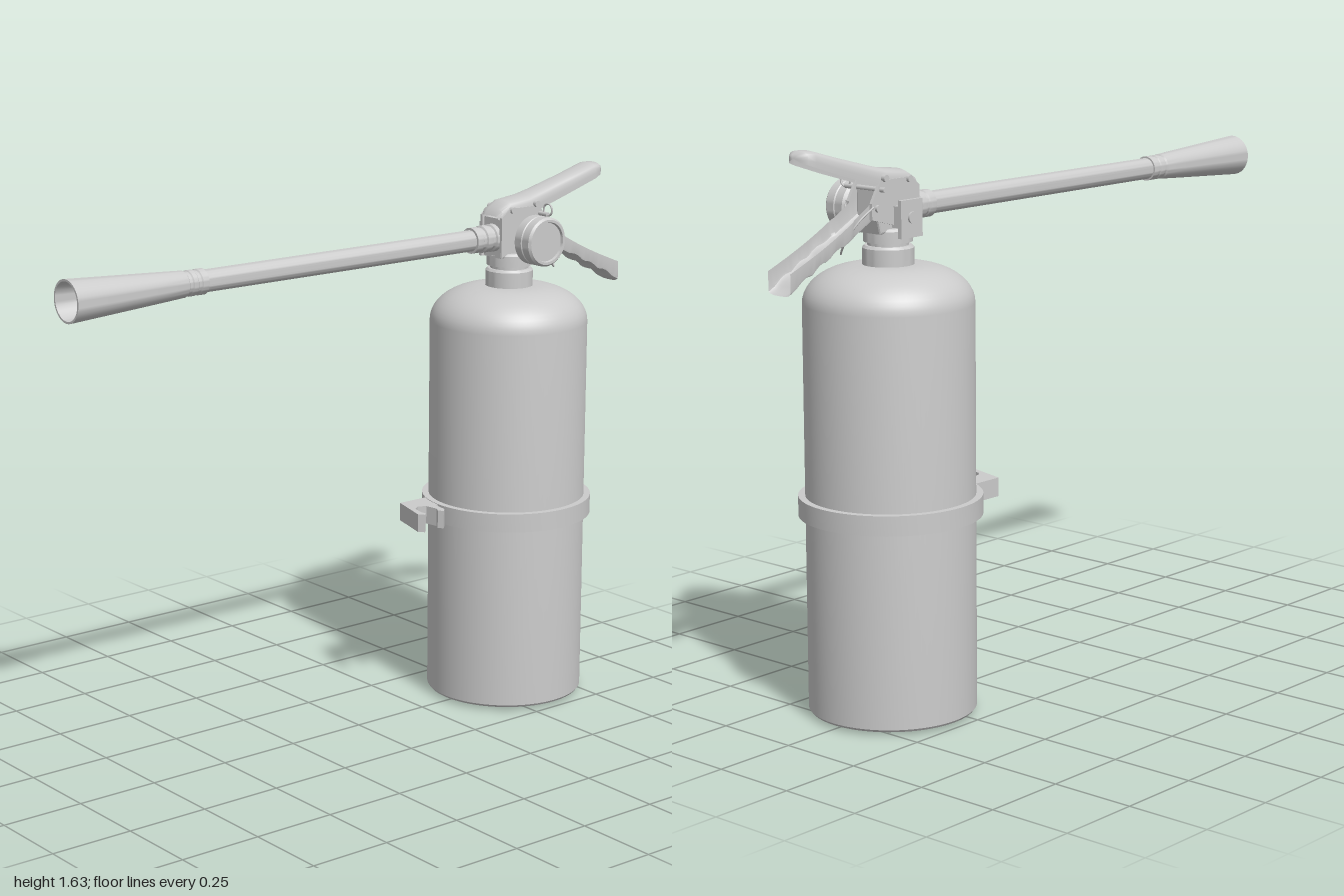
import * as THREE from 'three';
import { toCreasedNormals } from 'three/addons/utils/BufferGeometryUtils.js';

const CX = 0.583; // axis of the tank
const HOSE_Y = 1.44;
const material = new THREE.MeshStandardMaterial({ color: 0xcccccc });
const thin = new THREE.MeshStandardMaterial({ color: 0xcccccc, side: THREE.DoubleSide });

function add(parent, name, geometry, x = 0, y = 0, z = 0, mat = material) {
  const mesh = new THREE.Mesh(geometry, mat);
  mesh.name = name;
  mesh.position.set(x, y, z);
  parent.add(mesh);
  return mesh;
}

function lathe(points, segments = 64) {
  const g = new THREE.LatheGeometry(points.map(p => new THREE.Vector2(p[0], p[1])), segments);
  return toCreasedNormals(g, 0.6);
}

// Flat outline given thickness, centred on its depth
function plate(points, depth, bevel = 0) {
  const shape = new THREE.Shape(points.map(p => new THREE.Vector2(p[0], p[1])));
  const g = new THREE.ExtrudeGeometry(shape, {
    depth: depth - 2 * bevel, bevelEnabled: bevel > 0, bevelSize: bevel,
    bevelOffset: -bevel, bevelThickness: bevel, bevelSegments: 2,
  });
  return g.translate(0, 0, -depth / 2 + bevel);
}

// Pressed-metal channel along x. Stations: [x, spineY, edgeY, halfWidth]
function channel(stations, round) {
  const pos = [], index = [];
  const n = 10, cols = n + 3;
  for (const [x, spine, edge, w] of stations) {
    const r = (spine - edge) * round;
    pos.push(x, edge, w);
    for (let i = 0; i <= n; i++) {
      const a = Math.PI * i / n;
      const c = Math.cos(a), s = Math.sin(a);
      pos.push(x, spine - r + r * Math.pow(s, 0.6), w * Math.sign(c) * Math.pow(Math.abs(c), 0.7));
    }
    pos.push(x, edge, -w);
  }
  for (let s = 0; s < stations.length - 1; s++) {
    for (let i = 0; i < cols - 1; i++) {
      const a = s * cols + i, b = a + cols;
      index.push(a, b, a + 1, a + 1, b, b + 1);
    }
  }
  const g = new THREE.BufferGeometry();
  g.setAttribute('position', new THREE.Float32BufferAttribute(pos, 3));
  g.setIndex(index);
  return toCreasedNormals(g, 0.7);
}

function buildTank(group) {
  // Bulged bottom, skirt, straight wall and rounded shoulder in one profile
  const profile = [
    [0, 0], [0.05, 0.003], [0.1, 0.014], [0.15, 0.036], [0.18, 0.06], [0.195, 0.085],
    [0.205, 0.085], [0.205, 0.03], [0.22, 0.03], [0.22, 0.01], [0.235, 0.01], [0.24, 0.017], [0.24, 1.18],
  ];
  for (let i = 1; i <= 12; i++) {
    const a = Math.PI / 2 * i / 12;
    profile.push([0.08 + 0.16 * Math.cos(a), 1.18 + 0.108 * Math.sin(a)]);
  }
  profile.push([0, 1.288]);
  add(group, 'tank', lathe(profile, 96), CX);

  // Strap around the tank
  add(group, 'strap', lathe([
    [0.238, 0.578], [0.26, 0.578], [0.26, 0.635], [0.238, 0.635],
  ], 96), CX);

  // Hose clip, opening to the front
  const clip = plate([
    [0.4, 0.105], [0.245, 0.105], [0.208, -0.025], [0.222, -0.042], [0.234, -0.03],
    [0.23, -0.015], [0.24, 0.025], [0.262, 0.042], [0.285, 0.028], [0.292, -0.012],
    [0.282, -0.03], [0.292, -0.046], [0.308, -0.03], [0.315, 0.02], [0.4, 0.02],
  ].reverse(), 0.055);
  clip.rotateX(-Math.PI / 2);
  add(group, 'hoseClip', clip, 0, 0.606);
}

function buildValve(group) {
  add(group, 'neck', lathe([
    [0.072, 1.27], [0.072, 1.335], [0.066, 1.342], [0.058, 1.342], [0.058, 1.352],
    [0.069, 1.352], [0.069, 1.385], [0.062, 1.392], [0.05, 1.392], [0.05, 1.41], [0, 1.41],
  ], 48), CX);
  add(group, 'valveBody', plate([
    [0.515, 1.38], [0.655, 1.38], [0.665, 1.42], [0.665, 1.5], [0.515, 1.5],
  ], 0.084, 0.006));
  // Side cheeks that hold both levers
  for (const side of [-1, 1]) {
    add(group, 'valveCheek', plate([
      [0.508, 1.40], [0.60, 1.40], [0.695, 1.425], [0.695, 1.47], [0.66, 1.53], [0.54, 1.53], [0.508, 1.505],
    ], 0.01), 0, 0, side * 0.044);
    for (const [x, y] of [[0.55, 1.525], [0.645, 1.535], [0.675, 1.455]]) {
      const rivet = add(group, 'rivet', new THREE.CylinderGeometry(0.01, 0.01, 0.014, 16), x, y, side * 0.05);
      rivet.rotation.x = Math.PI / 2;
    }
  }

  // Pressure gauge on the front
  const gauge = lathe([
    [0.024, 0.03], [0.024, 0.07], [0.034, 0.07], [0.034, 0.09], [0.064, 0.09], [0.074, 0.098],
    [0.074, 0.125], [0.071, 0.128], [0.074, 0.131], [0.074, 0.158], [0.068, 0.165],
    [0.06, 0.165], [0.058, 0.157], [0, 0.157],
  ], 48).rotateX(Math.PI / 2);
  add(group, 'gauge', gauge, 0.59, HOSE_Y);

  // Square boss, tag plate and screw on the back
  add(group, 'rearBoss', new THREE.BoxGeometry(0.055, 0.06, 0.04), CX, 1.425, -0.062);
  add(group, 'rearPlate', new THREE.BoxGeometry(0.085, 0.105, 0.012), CX, 1.422, -0.085);
  const screw = add(group, 'rearScrew', new THREE.CylinderGeometry(0.016, 0.016, 0.014, 24), CX, 1.425, -0.089);
  screw.rotation.x = Math.PI / 2;
}

function buildLevers(group) {
  // Upper squeeze lever
  add(group, 'upperLever', channel([
    [0.503, 1.508, 1.5, 0.036], [0.515, 1.53, 1.495, 0.045], [0.55, 1.551, 1.495, 0.047],
    [0.63, 1.56, 1.505, 0.047], [0.68, 1.572, 1.52, 0.043], [0.8, 1.604, 1.555, 0.04],
    [0.895, 1.631, 1.586, 0.042], [0.92, 1.631, 1.595, 0.036],
    [0.935, 1.622, 1.602, 0.022], [0.94, 1.613, 1.61, 0.004],
  ], 0.65), 0, 0, 0, thin);

  // Lower carrying handle: channel open upward with a finger-scalloped underside
  const stations = [];
  for (let i = 0; i <= 32; i++) {
    const t = i / 32, x = 0.655 + 0.345 * t;
    const rim = 1.49 - 0.175 * t - 0.012 * Math.sin(Math.PI * t);
    const scallop = t > 0.4 && t < 0.93 ? 0.009 * Math.abs(Math.sin((t - 0.4) / 0.53 * Math.PI * 3)) : 0;
    const under = 1.43 - 0.178 * t + scallop;
    stations.push([x, under, rim, t < 0.3 ? 0.038 : 0.042]);
  }
  add(group, 'lowerHandle', channel(stations, 0.25), 0, 0, 0, thin);

  // Safety pin with its ring and hanging wire loop
  const pin = add(group, 'safetyPin', new THREE.CylinderGeometry(0.007, 0.007, 0.15, 12), 0.66, 1.505, 0.01);
  pin.rotation.x = Math.PI / 2;
  const ring = add(group, 'pinRing', new THREE.TorusGeometry(0.018, 0.003, 8, 32), 0.66, 1.52, 0.085);
  ring.rotation.y = Math.PI / 2;
  const wire = new THREE.CatmullRomCurve3([
    [0.69, 1.47, 0.052], [0.712, 1.41, 0.05], [0.716, 1.35, 0.045], [0.738, 1.33, 0.03],
    [0.762, 1.35, 0], [0.765, 1.39, -0.03], [0.74, 1.43, -0.048], [0.69, 1.46, -0.05],
  ].map(p => new THREE.Vector3(...p)));
  add(group, 'wireLoop', new THREE.TubeGeometry(wire, 48, 0.0028, 8));
}

function buildHose(group) {
  // Profiles run from the valve toward -x
  const alongX = points => lathe(points, 40).rotateZ(Math.PI / 2);
  add(group, 'hose', alongX([[0.032, -0.52], [0.032, 0.57]]), 0, HOSE_Y);
  add(group, 'hoseCollar', alongX([
    [0.03, -0.53], [0.042, -0.53], [0.042, -0.5], [0.037, -0.497], [0.037, -0.487], [0.041, -0.484],
    [0.041, -0.465], [0.036, -0.462], [0.036, -0.452], [0.039, -0.449], [0.039, -0.425], [0.03, -0.425],
  ]), 0, HOSE_Y);
  add(group, 'nozzle', alongX([
    [0.03, 0.555], [0.037, 0.555], [0.037, 0.575], [0.034, 0.578], [0.034, 0.588], [0.037, 0.591],
    [0.037, 0.605], [0.034, 0.608], [0.034, 0.618], [0.038, 0.622], [0.043, 0.7],
    [0.061, 1], [0.055, 1], [0.036, 0.7], [0.02, 0.64], [0, 0.64],
  ]), 0, HOSE_Y);
}

export function createModel() {
  const model = new THREE.Group();
  model.name = 'fireExtinguisher';
  const sections = { tankAssembly: buildTank, valve: buildValve, levers: buildLevers, hoseAssembly: buildHose };
  for (const [name, build] of Object.entries(sections)) {
    const group = new THREE.Group();
    group.name = name;
    build(group);
    model.add(group);
  }
  return model;
}
